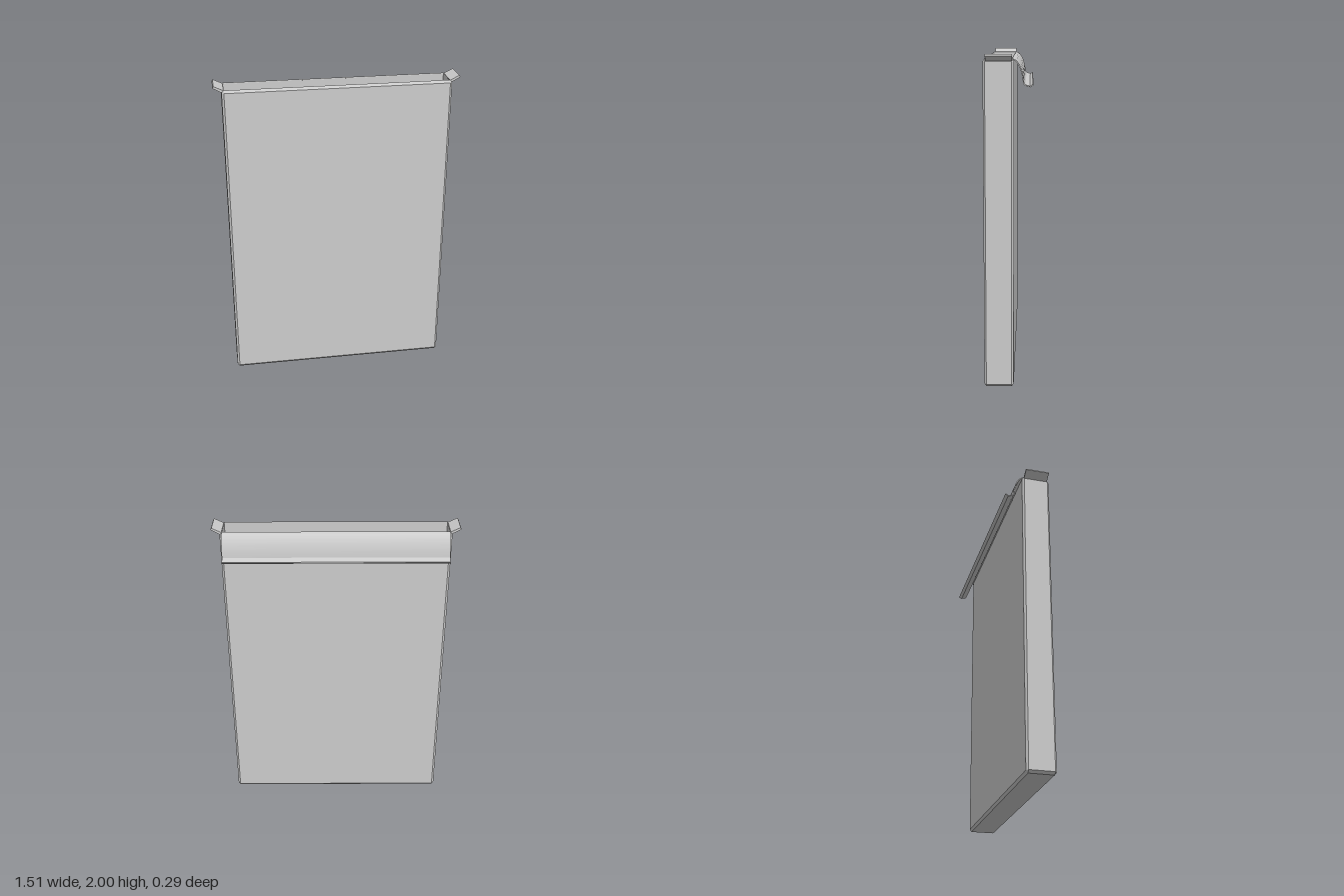
import * as THREE from 'three';
import { toCreasedNormals } from 'three/addons/utils/BufferGeometryUtils.js';

const HX = 0.705, ZC = 0.056, HZ = 0.089, TOP = 1.975; // half width, depth centre, half depth
const BX = 0.014, BZ = 0.012, BY = 0.016;              // bevel sizes = wall thickness

// Eight-cornered ring: full size has cut corners, inset is a plain rectangle
function ring(y, inset) {
  const x = HX - BX, z = HZ - BZ, ex = inset ? 0 : BX, ez = inset ? 0 : BZ;
  return [[x + ex, z], [x, z + ez], [-x, z + ez], [-x - ex, z],
    [-x - ex, -z], [-x, -z - ez], [x, -z - ez], [x + ex, -z]]
    .map(([a, b]) => new THREE.Vector3(a, y, b + ZC));
}

// Skin the rings from the underside, up the outside, over the rim and down inside
function pouchGeometry() {
  const rings = [ring(0, true), ring(BY, false), ring(TOP - BY, false), ring(TOP, true), ring(BY, true)];
  const pos = [];
  const tri = (a, b, c) => {
    const area = b.clone().sub(a).cross(c.clone().sub(a)).length();
    if (area > 1e-8) for (const p of [a, b, c]) pos.push(p.x, p.y, p.z);
  };
  for (let r = 0; r < rings.length - 1; r++) {
    for (let i = 0; i < 8; i++) {
      const j = (i + 1) % 8, lo = rings[r], hi = rings[r + 1];
      tri(lo[j], lo[i], hi[i]);
      tri(lo[j], hi[i], hi[j]);
    }
  }
  const under = rings[0], floor = rings[4];
  for (let i = 1; i < 7; i++) {
    tri(under[0], under[i], under[i + 1]);
    tri(floor[0], floor[i + 1], floor[i]);
  }
  const g = new THREE.BufferGeometry();
  g.setAttribute('position', new THREE.Float32BufferAttribute(pos, 3));
  g.computeVertexNormals();
  return g;
}

// Closed outline of a thin sheet following a centre line
function sheetShape(points, thickness) {
  const a = [], b = [];
  points.forEach((p, i) => {
    const t = points[Math.min(i + 1, points.length - 1)].clone().sub(points[Math.max(i - 1, 0)]).normalize();
    const n = new THREE.Vector2(-t.y, t.x).multiplyScalar(thickness / 2);
    a.push(p.clone().add(n));
    b.unshift(p.clone().sub(n));
  });
  return new THREE.Shape([...a, ...b]);
}

export function createModel() {
  const group = new THREE.Group();
  const mat = new THREE.MeshStandardMaterial({ color: 0xcccccc, side: THREE.DoubleSide });
  const add = (geometry, name) => {
    const mesh = new THREE.Mesh(geometry, mat);
    mesh.name = name;
    group.add(mesh);
  };
  const v = (x, y) => new THREE.Vector2(x, y);

  // Open-topped body
  add(pouchGeometry(), 'pouch');

  // Small tilted side flaps
  for (const s of [1, -1]) {
    const shape = new THREE.Shape([v(s * 0.69, 1.971), v(s * 0.699, 1.957), v(s * 0.757, 1.989), v(s * 0.751, 2)]);
    const g = new THREE.ExtrudeGeometry(shape, { depth: 0.152, bevelEnabled: false });
    g.translate(0, 0, -0.023);
    add(toCreasedNormals(g, 0.3), s > 0 ? 'leftSideFlap' : 'rightSideFlap');
  }

  // Curved rear flap ending in a bent tuck lip (outline drawn as distance backwards, height)
  const curve = new THREE.SplineCurve([v(0.022, 1.972), v(0.045, 1.961), v(0.066, 1.93),
    v(0.081, 1.885), v(0.089, 1.835)]).getPoints(20);
  const lip = [v(0.097, 1.825), v(0.125, 1.816), v(0.143, 1.827)];
  const flap = new THREE.ExtrudeGeometry(sheetShape([...curve, ...lip], 0.007),
    { depth: 2 * (HX - BX), bevelEnabled: false });
  flap.rotateY(Math.PI / 2);
  flap.translate(-(HX - BX), 0, 0);
  add(toCreasedNormals(flap, 0.4), 'rearFlap');

  return group;
}
